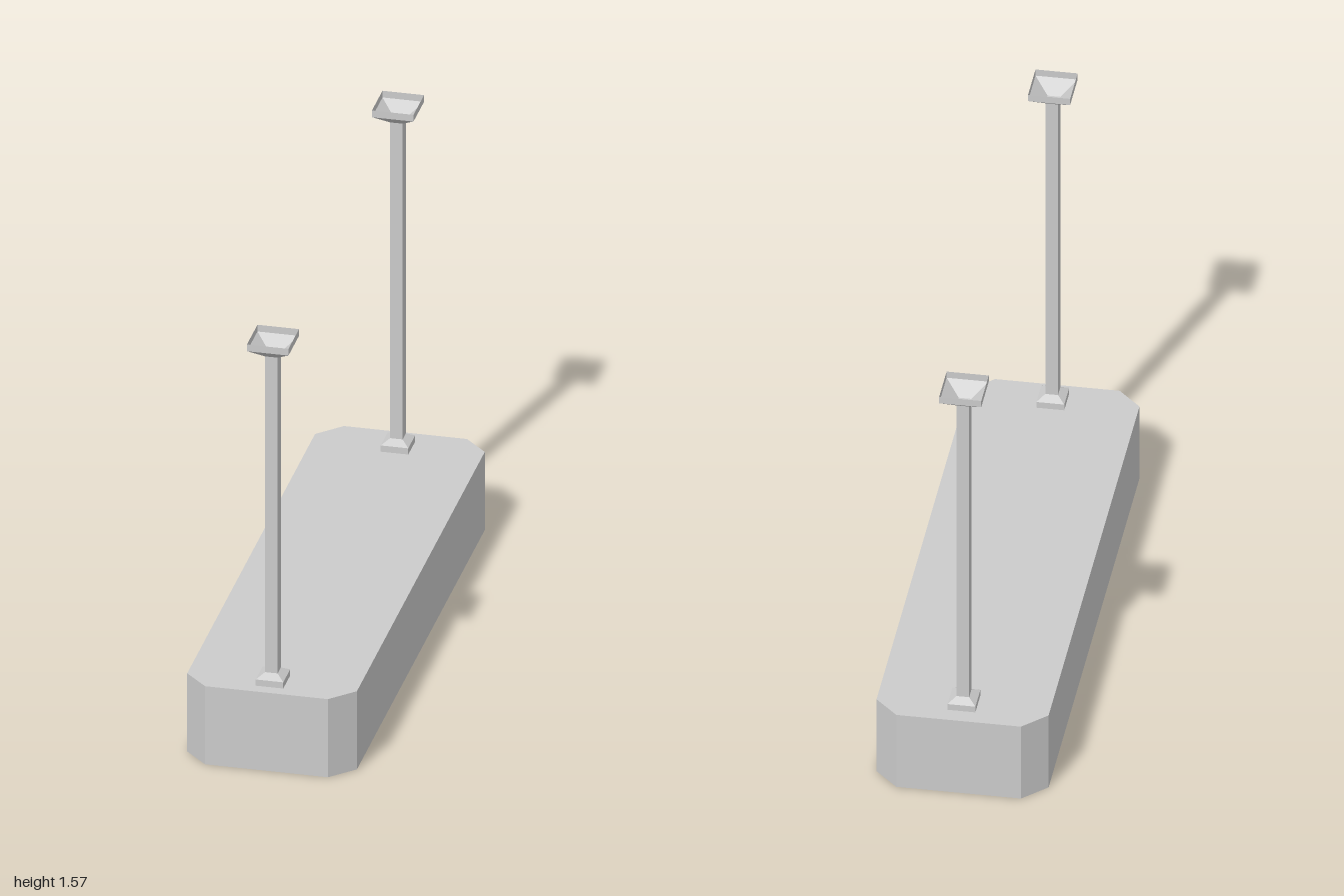
import * as THREE from 'three';

const grey = new THREE.MeshStandardMaterial({ color: 0xcccccc, flatShading: true });
const thin = new THREE.MeshStandardMaterial({ color: 0xcccccc, flatShading: true, side: THREE.DoubleSide });

function add(parent, name, geometry, material) {
  const mesh = new THREE.Mesh(geometry, material);
  mesh.name = name;
  parent.add(mesh);
  return mesh;
}

// Rectangle with chamfered corners, as a horizontal loop at height y
function loop(hx, hz, c, y) {
  const quarter = [[hx, hz - c], [hx - c, hz]];
  const half = [...quarter, ...quarter.map(([x, z]) => [-x, z]).reverse()];
  return [...half, ...half.map(([x, z]) => [-x, -z])].map(([x, z]) => [x, y, z]);
}

// Skin joining successive loops; first and last loops are single centre points
function skin(loops) {
  const pos = [];
  const n = loops[0].length;
  for (let i = 0; i < loops.length - 1; i++) {
    for (let j = 0; j < n; j++) {
      const k = (j + 1) % n;
      const [a, b, c, d] = [loops[i][j], loops[i][k], loops[i + 1][k], loops[i + 1][j]];
      if (i > 0) pos.push(...a, ...b, ...c);
      if (i < loops.length - 2) pos.push(...a, ...c, ...d);
    }
  }
  const g = new THREE.BufferGeometry();
  g.setAttribute('position', new THREE.Float32BufferAttribute(pos, 3));
  g.computeVertexNormals();
  return g;
}

// Square-section turned piece from [half width, height] pairs
function squareLathe(profile) {
  const pts = profile.map(([r, y]) => new THREE.Vector2(r * Math.SQRT2, y));
  return new THREE.LatheGeometry(pts, 4, Math.PI / 4);
}

export function createModel() {
  const model = new THREE.Group();
  model.name = 'hangingTubeLight';

  // Housing: chamfered box with a recess open at the bottom
  const top = 0.29, recess = 0.17;
  add(model, 'housing', skin([
    loop(0, 0, 0, top),
    loop(0.29, 1, 0.08, top),
    loop(0.29, 1, 0.08, 0),
    loop(0.23, 0.94, 0.05, 0),
    loop(0.23, 0.94, 0.05, recess),
    loop(0, 0, 0, recess),
  ]), grey);

  // Two six-sided lamp tubes inside the recess, flat side down
  for (const side of [-1, 1]) {
    const tube = new THREE.CylinderGeometry(0.05, 0.05, 1.86, 6);
    tube.rotateY(Math.PI / 6).rotateX(Math.PI / 2);
    add(model, 'lampTube', tube, grey).position.set(side * 0.11, 0.086, 0);
  }

  // Two hanging poles with a foot and an open, flared ceiling cup
  const rod = 0.0215, rodTop = 1.502;
  for (const z of [0.907, -0.892]) {
    const hanger = new THREE.Group();
    hanger.name = 'hanger';
    add(hanger, 'foot', squareLathe([[0.047, top], [0.047, 0.313], [rod, 0.33]]), thin);
    add(hanger, 'pole', squareLathe([[rod, 0.33], [rod, rodTop], [0, rodTop]]), thin);
    add(hanger, 'ceilingCup', squareLathe([[rod, rodTop], [0.071, 1.541], [0.071, 1.566]]), thin);
    hanger.scale.z = 1.07;
    hanger.position.z = z;
    model.add(hanger);
  }
  return model;
}
